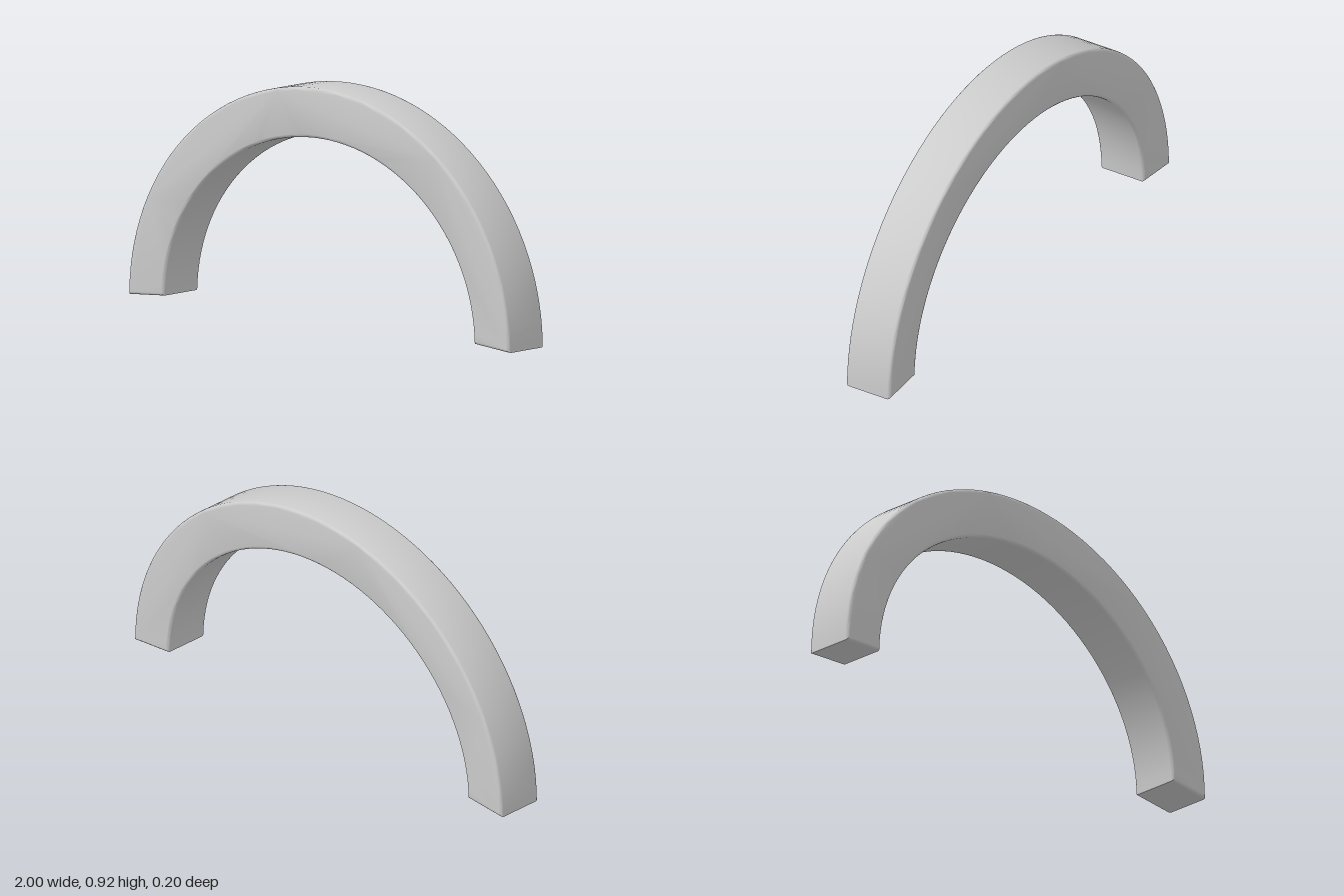
import * as THREE from 'three';
import { toCreasedNormals } from 'three/addons/utils/BufferGeometryUtils.js';

const DEPTH = 0.2;
const BEVEL = 0.012;
const STEPS = 56;

// Points along an upper half ellipse, from +x over the top to -x
function halfEllipse(rx, ry, start) {
  const points = [];
  for (let i = 0; i <= STEPS; i++) {
    const t = start + (Math.PI - 2 * start) * i / STEPS;
    points.push(new THREE.Vector2(rx * Math.cos(t), ry * Math.sin(t)));
  }
  return points;
}

export function createModel() {
  const group = new THREE.Group();
  group.name = 'archModel';

  // Arch outline: the inner curve starts slightly higher, so the feet slope
  const outer = halfEllipse(1, 0.915, 0);
  const inner = halfEllipse(0.816, 0.72, 0.02).reverse();
  const shape = new THREE.Shape([...outer, ...inner]);

  // Square bar with softly rounded front and back edges
  const bar = new THREE.ExtrudeGeometry(shape, {
    depth: DEPTH - 2 * BEVEL,
    bevelEnabled: true,
    bevelThickness: BEVEL,
    bevelSize: BEVEL,
    bevelOffset: -BEVEL,
    bevelSegments: 3,
  });
  bar.translate(0, 0, -DEPTH / 2 + BEVEL);

  const arch = new THREE.Mesh(
    toCreasedNormals(bar, 0.7),
    new THREE.MeshStandardMaterial({ color: 0xcccccc })
  );
  arch.name = 'arch';
  group.add(arch);
  return group;
}
